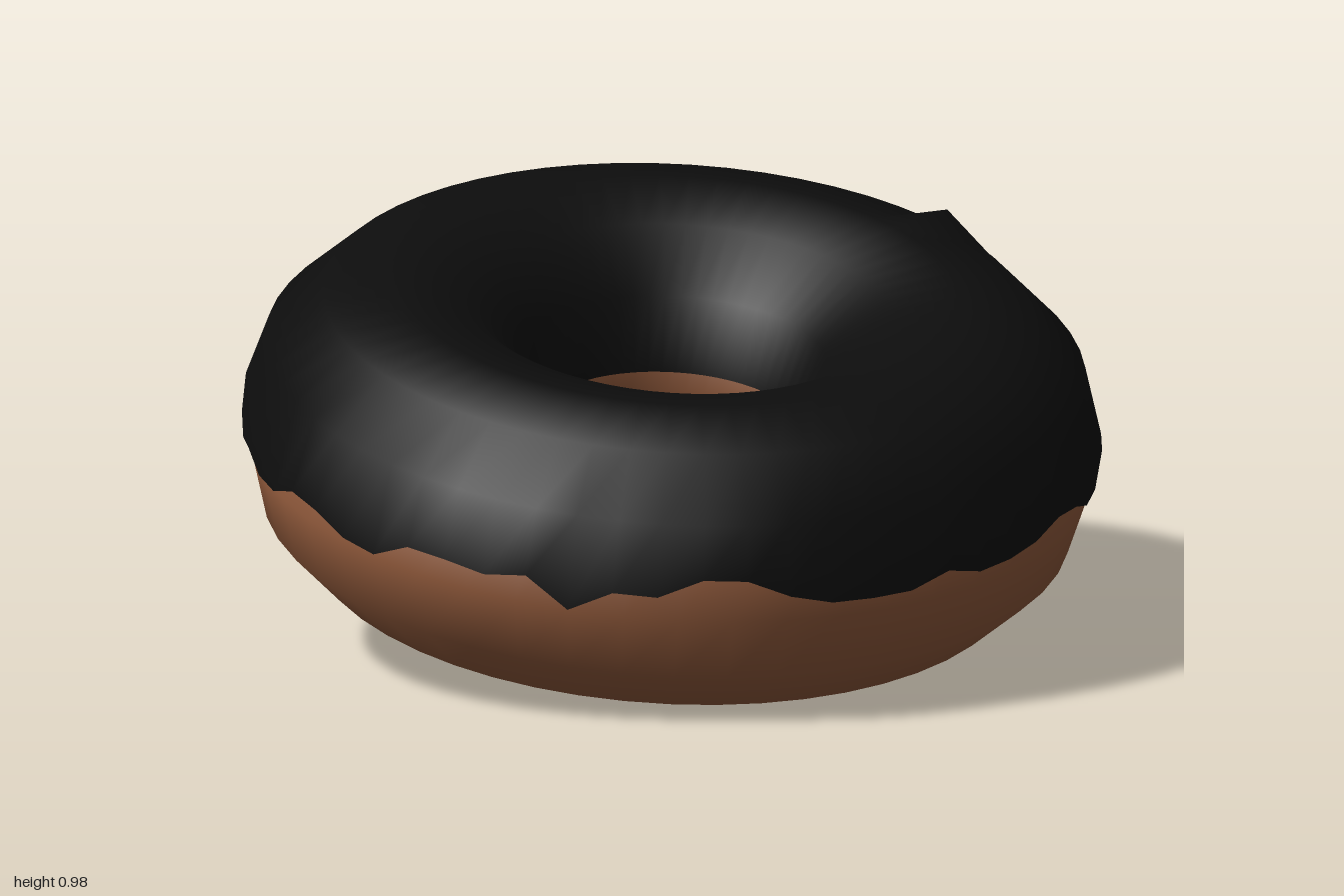
import * as THREE from 'three';

const RING = 0.655;    // radius of the ring's centre line
const DOUGH_R = 0.327; // dough thickness radius
const ICING_R = 0.345; // icing shell radius
const LIFT = 0.058;    // icing centre above dough centre

// Height of the ragged icing edge, every 6 degrees from the front towards +x
const DRIPS = [
  0.01, -0.015, -0.018, -0.018, 0.01, -0.02, -0.02, -0.01, 0.015, 0, -0.04, -0.043,
  0.01, 0.005, -0.063, -0.065, -0.065, -0.06, 0.01, 0.01, 0.008, 0.055, 0.06, 0.006,
  0.005, 0.002, 0, 0, 0.02, 0, -0.03, -0.05, -0.06, -0.02, -0.005, 0,
  0.04, 0.04, -0.06, -0.1, -0.01, 0.02, -0.03, -0.05, -0.03, -0.055, -0.05, -0.005,
  -0.01, -0.04, -0.045, 0.01, 0.01, 0, 0.02, -0.05, 0.009, 0.007, 0.053, 0.051,
];

// Cross-section [radius, height] from the hole, over the top, to the outer edge
function icingProfile(drop, bump) {
  const rows = [[RING - ICING_R + 0.03, 0], [RING - ICING_R, 0], [RING - ICING_R, 0]];
  for (let deg = 150; deg >= 30; deg -= 30) {
    const a = THREE.MathUtils.degToRad(deg);
    const raise = deg === 60 ? bump : 0;
    rows.push([RING + ICING_R * Math.cos(a) - raise * 0.3, ICING_R * Math.sin(a) + raise]);
  }
  const edge = drop > 0
    ? RING + Math.sqrt(ICING_R ** 2 - drop ** 2)
    : RING + ICING_R + drop * 0.1;
  // The edge is doubled so its underside stays crisp
  rows.push([edge, drop], [edge, drop], [edge - 0.05, drop]);
  return rows;
}

function icingGeometry() {
  const positions = [];
  const indices = [];
  const columns = DRIPS.length;
  let rowCount = 0;
  DRIPS.forEach((drop, j) => {
    const az = (j / columns) * Math.PI * 2;
    const rows = icingProfile(drop, j === 19 ? 0.055 : 0); // one small lump on the side
    rowCount = rows.length;
    for (const [r, h] of rows) positions.push(r * Math.sin(az), h + LIFT, r * Math.cos(az));
  });
  for (let j = 0; j < columns; j++) {
    for (let i = 0; i < rowCount - 1; i++) {
      const a = j * rowCount + i;
      const b = ((j + 1) % columns) * rowCount + i;
      indices.push(a, a + 1, b, a + 1, b + 1, b);
    }
  }
  const geometry = new THREE.BufferGeometry();
  geometry.setAttribute('position', new THREE.Float32BufferAttribute(positions, 3));
  geometry.setIndex(indices);
  geometry.computeVertexNormals();
  return geometry;
}

export function createModel() {
  const model = new THREE.Group();
  model.name = 'doughnut';

  // Ring leaning down towards the front
  const ring = new THREE.Group();
  ring.name = 'tiltedRing';
  ring.rotation.x = 0.2;
  ring.position.set(0, 0.453, -0.01);
  model.add(ring);

  const dough = new THREE.Mesh(
    new THREE.TorusGeometry(RING, DOUGH_R, 12, 48).rotateX(Math.PI / 2),
    new THREE.MeshStandardMaterial({ color: 0x945c3d }),
  );
  dough.name = 'dough';

  const icing = new THREE.Mesh(
    icingGeometry(),
    new THREE.MeshStandardMaterial({ color: 0x0d0d0d, side: THREE.DoubleSide }),
  );
  icing.name = 'icing';

  ring.add(dough, icing);
  return model;
}
